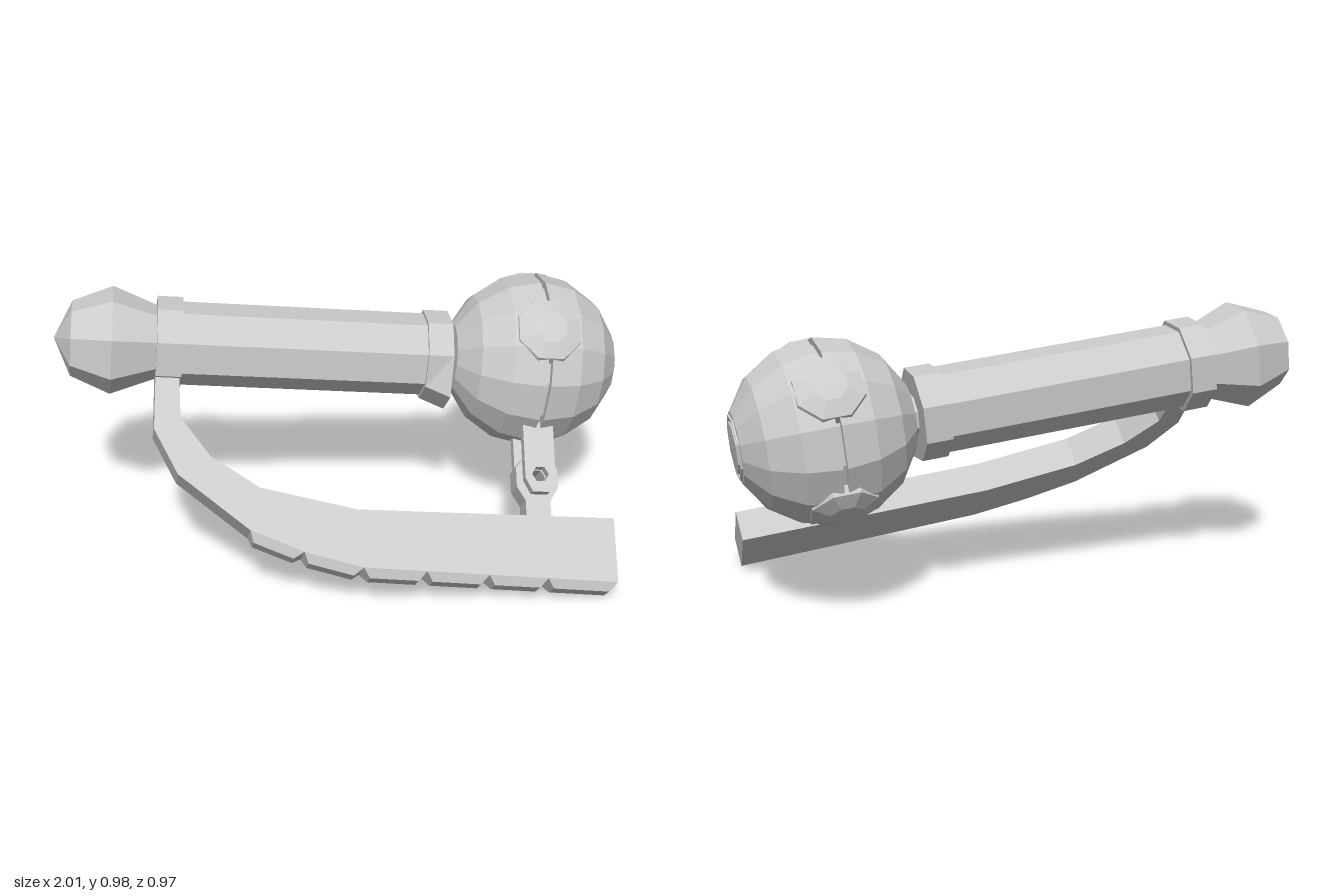
import * as THREE from 'three';

const material = new THREE.MeshStandardMaterial({ color: 0xcccccc, flatShading: true, side: THREE.DoubleSide });

// Local frame: x runs along the handle, -y points at the guard, z is sideways.
export function createModel() {
  const model = new THREE.Group();
  model.name = 'handheldDevice';

  const add = (name, geometry, x = 0, y = 0, z = 0) => {
    const mesh = new THREE.Mesh(geometry, material);
    mesh.name = name;
    mesh.position.set(x, y, z);
    model.add(mesh);
    return mesh;
  };
  // Profile of [position along x, radius], turned round the x axis
  const turned = (profile, sides) => new THREE.LatheGeometry(
    profile.map(([s, r]) => new THREE.Vector2(r, s)), sides, Math.PI / sides).rotateZ(-Math.PI / 2);
  const polygon = (points) => new THREE.Shape(points.map(([x, y]) => new THREE.Vector2(x, y)));
  const plate = (shape, z0, z1) => new THREE.ExtrudeGeometry(shape,
    { depth: z1 - z0, bevelEnabled: false }).translate(0, 0, z0);
  const hexagon = (cx, cy, r) => Array.from({ length: 6 }, (_, i) =>
    new THREE.Vector2(cx + r * Math.cos(i * Math.PI / 3), cy + r * Math.sin(i * Math.PI / 3)));

  // Octagonal handle, pommel, collars and neck
  add('handle', turned([[-1.3, 0], [-1.3, 0.147], [-0.35, 0.147], [-0.35, 0]], 8));
  add('pommel', turned([[-1.71, 0], [-1.65, 0.132], [-1.51, 0.19], [-1.34, 0.125], [-1.34, 0]], 8));
  add('rearCollar', turned([[-1.355, 0], [-1.355, 0.163], [-1.265, 0.163], [-1.265, 0]], 8));
  const collar = turned([[-0.4, 0], [-0.4, 0.16], [-0.31, 0.16], [-0.31, 0]], 8);
  const cp = collar.attributes.position;
  for (let i = 0; i < cp.count; i++) {
    if (cp.getX(i) > -0.35 && cp.getY(i) < -0.12) cp.setY(i, -0.185);
  }
  add('frontCollar', collar);
  add('neck', turned([[-0.35, 0.075], [-0.26, 0.075]], 8));

  // Faceted ball with a seam groove round its middle
  const R = 0.314;
  const ball = [];
  for (let i = 0; i <= 8; i++) {
    const a = i * Math.PI / 8;
    if (i === 4) ball.push([-0.008, R], [-0.008, R - 0.025], [0.008, R - 0.025], [0.008, R]);
    else if (i === 0 || i === 8) ball.push([-0.297 * Math.cos(a), i ? 0 : 0.001]);
    else ball.push([-R * Math.cos(a), R * Math.sin(a)]);
  }
  add('ball', turned(ball, 14));
  add('endCap', turned([[0.25, 0.115], [0.297, 0.11], [0.297, 0.1], [0.275, 0.098],
    [0.275, 0.09], [0.3, 0.087], [0.304, 0]], 8));

  // Octagonal panels over the seam, on the three sides away from the bracket
  for (let i = 0; i < 3; i++) {
    const panel = new THREE.LatheGeometry([[0.125, 0.26], [0.118, 0.293], [0.06, 0.316], [0, 0.322]]
      .map(([r, h]) => new THREE.Vector2(r, h)), 8, Math.PI / 8);
    add('ballPanel', panel).rotation.x = (i - 1) * Math.PI / 2;
  }

  // Hand guard: straight bar curving up to the rear collar
  const outer = [[-1.355, -0.1], [-1.355, -0.34], [-1.27, -0.5], [-1.02, -0.69],
    [-0.835, -0.76], [-0.63, -0.81], [0.27, -0.84]];
  const inner = [[0.27, -0.61], [-0.65, -0.605], [-0.99, -0.537], [-1.16, -0.43],
    [-1.265, -0.295], [-1.275, -0.1]];
  add('guard', plate(polygon([...outer, ...inner]), -0.062, 0.052));

  // Tapered grip pads along the guard's outer edge
  const edgeY = (s) => -0.81 - 0.03 * (s + 0.63) / 0.9;
  const stops = [...outer.slice(3, 6), ...[-0.41, -0.19, 0.02, 0.27].map((s) => [s, edgeY(s)])];
  for (let i = 0; i < stops.length - 1; i++) {
    const [x0, y0] = stops[i];
    const [x1, y1] = stops[i + 1];
    const length = Math.hypot(x1 - x0, y1 - y0);
    const pad = new THREE.BoxGeometry(length, 0.06, 0.114);
    const p = pad.attributes.position;
    for (let k = 0; k < p.count; k++) {
      if (p.getY(k) < 0) {
        p.setX(k, p.getX(k) * (1 - 0.05 / length));
        p.setZ(k, p.getZ(k) * 0.55);
      } else p.setY(k, 0);
    }
    add('gripPad', pad, (x0 + x1) / 2, (y0 + y1) / 2, -0.005)
      .rotation.z = Math.atan2(y1 - y0, x1 - x0);
  }

  // Hinge: two straps from the ball and a tongue from the guard, with a hexagonal bolt hole
  const strap = polygon([[-0.055, -0.2], [-0.055, -0.48], [-0.03, -0.53],
    [0.03, -0.53], [0.055, -0.48], [0.055, -0.2]]);
  strap.holes.push(new THREE.Path(hexagon(0, -0.465, 0.03)));
  add('leftStrap', plate(strap, 0.05, 0.085));
  add('rightStrap', plate(strap, -0.09, -0.055));
  const tongue = polygon([[-0.045, -0.62], [0.045, -0.62], [0.045, -0.55], [0.075, -0.5], [0.075, -0.43],
    [0.04, -0.385], [-0.04, -0.385], [-0.075, -0.43], [-0.075, -0.5], [-0.045, -0.55]]);
  tongue.holes.push(new THREE.Path(hexagon(0, -0.465, 0.03)));
  add('hingeTongue', plate(tongue, -0.045, 0.038));

  // Tilt the whole piece so the guard hangs forward and down
  const along = new THREE.Vector3(1, -0.109, 0.02).normalize();
  const up = new THREE.Vector3(0, 0.676, -0.737);
  up.addScaledVector(along, -up.dot(along)).normalize();
  const side = new THREE.Vector3().crossVectors(along, up);
  model.applyMatrix4(new THREE.Matrix4().makeBasis(along, up, side).setPosition(0.7, 0.635, -0.18));

  const root = new THREE.Group();
  root.add(model);
  return root;
}
